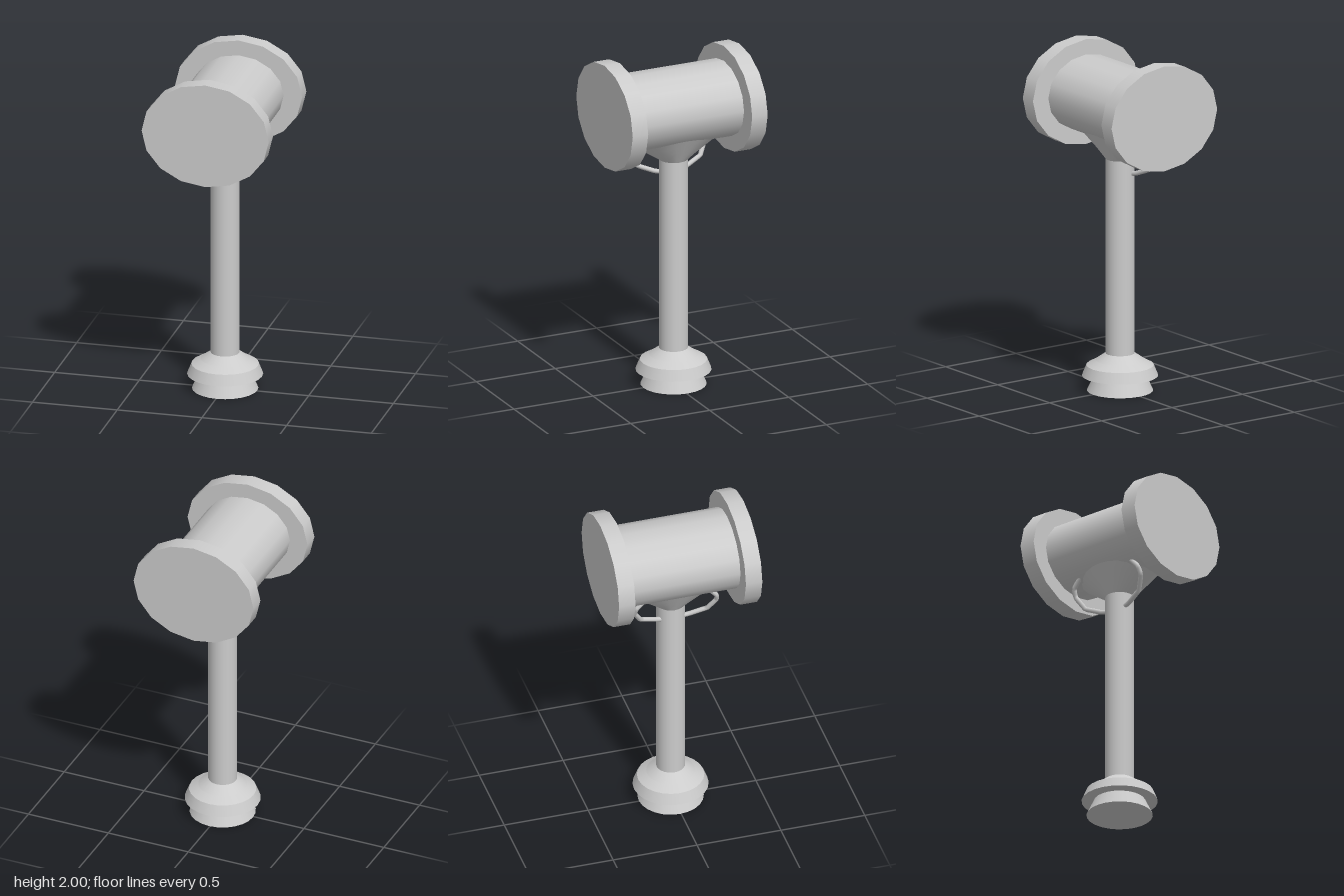
import * as THREE from 'three';

const grey = new THREE.MeshStandardMaterial({ color: 0xcccccc });
const greyDouble = new THREE.MeshStandardMaterial({ color: 0xcccccc, side: THREE.DoubleSide });

const HEAD_Y = 1.69;
const AXIS = { x: 0.005, z: -0.007 }; // handle axis, slightly off centre
const BARREL = { rx: 0.266, ry: 0.22 };

function add(group, name, geometry, material = grey) {
  const mesh = new THREE.Mesh(geometry, material);
  mesh.name = name;
  group.add(mesh);
  return mesh;
}

// Elliptical cylinder lying along z
function ovalDrum(rx, ry, length) {
  return new THREE.CylinderGeometry(1, 1, length, 16).rotateX(Math.PI / 2).scale(rx, ry, 1);
}

// Lathe with a hard edge at every profile point
function steppedLathe(group, name, profile, sides) {
  const part = new THREE.Group();
  part.name = name;
  for (let i = 0; i < profile.length - 1; i++) {
    const pts = [profile[i], profile[i + 1]].map(([r, y]) => new THREE.Vector2(r, y));
    add(part, name + 'Band', new THREE.LatheGeometry(pts, sides), greyDouble);
  }
  part.position.set(AXIS.x, 0, AXIS.z);
  group.add(part);
}

// Flared collar whose rim follows the underside of the barrel
function saddleCollar() {
  const geo = new THREE.CylinderGeometry(1, 1, 1, 24, 4, true);
  const p = geo.attributes.position;
  for (let i = 0; i < p.count; i++) {
    const t = p.getY(i) + 0.5;
    const c = p.getX(i), s = p.getZ(i);
    const rimX = 0.182 * c;
    const rimY = HEAD_Y - BARREL.ry * Math.sqrt(1 - (rimX / BARREL.rx) ** 2) + 0.003;
    const x = THREE.MathUtils.lerp(0.083 * c, rimX, t);
    const z = THREE.MathUtils.lerp(0.083 * s, 0.24 * s, t);
    p.setXYZ(i, x, THREE.MathUtils.lerp(1.37, rimY, t), z);
  }
  geo.computeVertexNormals();
  return geo;
}

export function createModel() {
  const model = new THREE.Group();
  model.name = 'mallet';

  // Head: oval barrel with a wider striking disc at each end
  const head = new THREE.Group();
  head.name = 'head';
  head.position.y = HEAD_Y;
  model.add(head);
  add(head, 'barrel', ovalDrum(BARREL.rx, BARREL.ry, 0.7));
  for (const side of [1, -1]) {
    add(head, side > 0 ? 'frontDisc' : 'backDisc', ovalDrum(0.375, 0.31, 0.098))
      .position.z = side * 0.378;
  }

  // Handle shaft and the collar joining it to the head
  add(model, 'shaft', new THREE.CylinderGeometry(0.083, 0.083, 1.32, 24))
    .position.set(AXIS.x, 0.86, AXIS.z);
  add(model, 'collar', saddleCollar(), greyDouble).position.set(AXIS.x, 0, AXIS.z);

  // Pommel: sloping skirt over a flared foot
  steppedLathe(model, 'pommel', [
    [0, 0], [0.19, 0], [0.148, 0.088], [0.218, 0.088],
    [0.193, 0.15], [0.14, 0.18], [0.083, 0.22],
  ], 24);

  // Thin loops from the shaft up to the barrel, mirrored front and back
  for (const side of [1, -1]) {
    const path = new THREE.CurvePath();
    const pts = [
      [-0.02, 1.275, 0], [-0.033, 1.295, 0.1], [-0.06, 1.335, 0.2],
      [-0.095, 1.41, 0.245], [-0.115, 1.455, 0.24], [-0.12, 1.51, 0.19],
    ].map(([x, y, z]) => new THREE.Vector3(x, y, side * z + AXIS.z));
    for (let i = 0; i < pts.length - 1; i++) path.add(new THREE.LineCurve3(pts[i], pts[i + 1]));
    add(model, side > 0 ? 'frontLoop' : 'backLoop', new THREE.TubeGeometry(path, 20, 0.014, 8));
  }

  return model;
}
